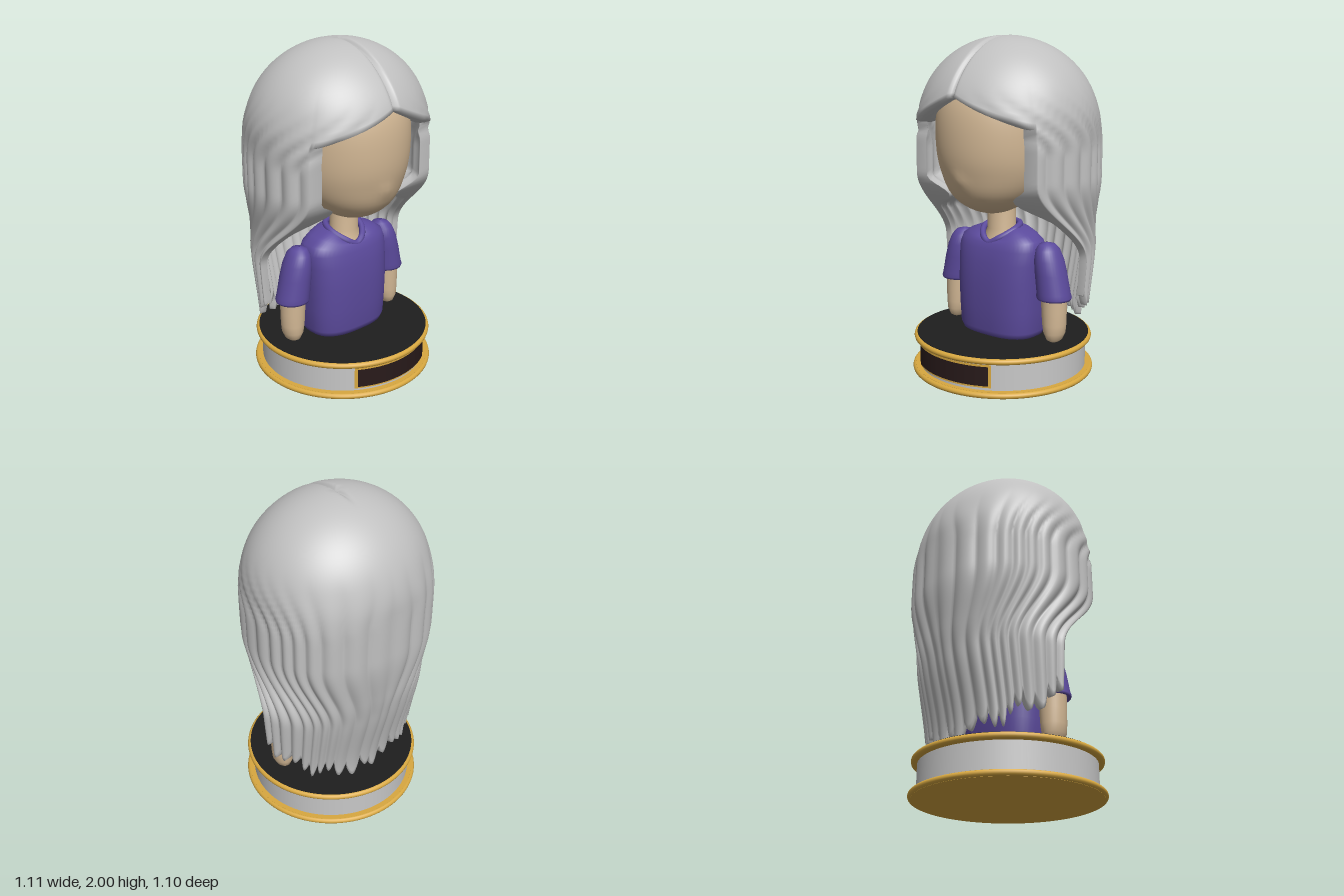
import * as THREE from 'three';
import { mergeGeometries, mergeVertices } from 'three/addons/utils/BufferGeometryUtils.js';

const mat = (name, color, side = THREE.FrontSide) => {
  const m = new THREE.MeshStandardMaterial({ color, side });
  m.name = name;
  return m;
};
const V = (x, y, z) => new THREE.Vector3(x, y, z);
const lerp = THREE.MathUtils.lerp;
const smooth = THREE.MathUtils.smoothstep;

// Skin a stack of closed rings (bottom to top, each running anticlockwise from above)
function loft(rows) {
  const n = rows[0].length, idx = [];
  for (let i = 0; i < rows.length - 1; i++) {
    for (let j = 0; j < n; j++) {
      const k = (j + 1) % n, a = i * n, b = a + n;
      idx.push(a + j, a + k, b + k, a + j, b + k, b + j);
    }
  }
  const g = new THREE.BufferGeometry().setFromPoints(rows.flat());
  g.setIndex(idx);
  g.computeVertexNormals();
  return g;
}

// Superellipse ring; p < 1 makes it squarer
function ring(cx, y, cz, hx, hz, p = 1, drop = 0, n = 48) {
  const pw = (v) => Math.sign(v) * Math.abs(v) ** p;
  return Array.from({ length: n }, (_, j) => {
    const a = (j / n) * Math.PI * 2, s = Math.sin(a), c = Math.cos(a);
    return V(cx + hx * pw(s), y - drop * Math.max(0, c) ** 2, cz + hz * pw(c));
  });
}

// ---- Hair: every strand falls from the crown at an angle phi (0 = front) ----
const COLS = 280;
const EDGE_COL = 40; // column where the fringe ends and the long hair begins
const EDGE = (EDGE_COL / COLS) * Math.PI * 2;
const STRANDS = 11; // per side

const fold = (phi) => Math.min(phi, Math.PI * 2 - phi);
// locks sweep backwards below the crown, with uneven widths
const lockPhase = (f, y) => {
  const a = f - 0.8 * smooth(-y, -1.72, -1.35) * (1 - smooth(f, 1, Math.PI));
  return STRANDS * a + 0.7 * Math.sin(3.7 * a);
};

function hairPoint(phi, y, theta, inset, lip = 0) {
  const f = fold(phi), sgn = phi > Math.PI ? -1 : 1;
  const dome = Math.sin(theta), cz = -0.05 + 0.012 * Math.cos(theta);
  const lock = Math.abs(Math.sin(lockPhase(f, y))) - 0.7;
  const r = 1 + lock * 0.042 * smooth(-y, -1.75, -1.3) + lip;
  const square = lerp(1, 0.8, smooth(-y, -1.65, -1.4));
  let x = 0.552 * Math.sin(f) ** square * dome * r;
  let z = cz + 0.498 * Math.cos(f) * dome * r;
  // the long hair is drawn back behind the shoulders
  const s = smooth(-y, -1.19, -0.74);
  const q = lerp(Math.PI / 2, Math.PI, Math.max(0, (f - EDGE) / (Math.PI - EDGE)));
  const low = smooth(-y, -0.9, -0.25);
  x = lerp(x, lerp(0.55, 0.52, low) * Math.sin(q) * r, s);
  z = lerp(z, -0.08 + lerp(0.42, 0.3, low) * Math.cos(q) * r, s);
  // centre parting
  const part = 1 - 0.045 * Math.exp(-((x / 0.014) ** 2)) * smooth(z, -0.22, -0.03) * smooth(y, 1.5, 1.6);
  // inner face, thickest just under the jaw
  const jaw = smooth(-y, -1.17, -1.07) * (1 - smooth(-y, -1.06, -0.95));
  const k = 1 - inset * (lerp(1, 0.45, s) + 1.7 * jaw);
  const kz = lerp(1, k, Math.min(1, Math.max(0, (f - EDGE) / 1.2)));
  return V(sgn * x * k, 1.5 + (y - 1.5) * (y > 1.5 ? part : 1), -0.05 + (z + 0.05) * part * kz);
}

// Dome over the whole head; its front edge rolls under as the fringe
function hairCap() {
  const down = 26, roll = 4, rows = [];
  for (let i = 0; i <= down + roll; i++) {
    const row = [];
    for (let j = 0; j < COLS; j++) {
      const phi = (j / COLS) * Math.PI * 2;
      const front = Math.max(0, 1 - fold(phi) / EDGE);
      const th = Math.acos(0.34 * front ** 1.3) * Math.min(1, i / down);
      const lip = 0.032 * smooth(i / down, 0.5, 1) * front ** 0.6;
      const p = hairPoint(phi, 1.5 + 0.5 * Math.cos(th), th, 0, lip);
      const back = front > 0 ? Math.max(0, i - down) / roll : 0;
      const k = 1 - 0.22 * back;
      row.push(V(p.x * k, p.y - 0.014 * Math.sin(back * Math.PI), -0.05 + (p.z + 0.05) * k));
    }
    rows.unshift(row);
  }
  return loft(rows);
}

// Thick curtain hanging from the dome's edge around the sides and back
function longHair() {
  const steps = 40, rows = [];
  const at = (t, phi, inset) => {
    const f = fold(phi), q = (f - EDGE) / (Math.PI - EDGE), phase = lockPhase(f, 0.5);
    const right = phi > Math.PI;
    const jitter = 0.035 * Math.sin(Math.floor(phase / Math.PI) * 4.7 + (right ? 2 : 0));
    const side = lerp(right ? 0.53 : 0.6, 0.37, Math.min(1, q * 1.4));
    const end = side - 0.08 * Math.abs(Math.sin(phase)) + jitter;
    return hairPoint(phi, lerp(1.5, end, t), Math.PI / 2, inset);
  };
  for (let i = 0; i <= steps; i++) {
    const outer = [], inner = [];
    for (let j = EDGE_COL; j <= COLS - EDGE_COL; j++) {
      const phi = (j / COLS) * Math.PI * 2;
      outer.push(at(i / steps, phi, 0));
      inner.unshift(at(i / steps, phi, 0.18));
    }
    rows.unshift([...outer, ...inner]);
  }
  // close the tips
  const last = rows[0];
  rows.unshift(last.map((p, j) => p.clone().lerp(last[last.length - 1 - j], 0.5)));
  return loft(rows);
}

// Weld dome and curtain so that the shading runs through
function hairGeometry() {
  const parts = [hairCap(), longHair()];
  parts.forEach((g) => g.deleteAttribute('normal'));
  const g = mergeVertices(mergeGeometries(parts), 1e-5);
  g.computeVertexNormals();
  return g;
}

// ---- Head with a tapered jaw, forward chin and a faint nose ----
function headGeometry() {
  const g = new THREE.SphereGeometry(1, 56, 40), p = g.attributes.position;
  for (let i = 0; i < p.count; i++) {
    const x = p.getX(i), y = p.getY(i), z = p.getZ(i);
    const fat = 1 + 0.26 * (1 - y * y) * y * y;
    const Y = 1.45 + y * (y < 0 ? 0.48 : 0.42);
    const nose = z > 0 ? 0.012 * Math.exp(-((x / 0.12) ** 2) - ((Y - 1.19) / 0.04) ** 2) : 0;
    const chin = 0.045 * smooth(-y, 0.45, 0.95);
    p.setXYZ(i, x * 0.36 * fat, Y, 0.05 + z * 0.36 * fat + nose + chin);
  }
  g.computeVertexNormals();
  return g;
}

export function createModel() {
  const root = new THREE.Group();
  root.name = 'bustFigure';
  const hair = mat('hairGrey', 0xc0c0c0, THREE.DoubleSide);
  const skin = mat('skin', 0xd3b895);
  const shirt = mat('shirtPurple', 0x5b4a9c, THREE.DoubleSide);
  const gold = mat('gold', 0xd8a840);
  const black = mat('baseTopBlack', 0x1e1e1e);
  const wall = mat('baseWallGrey', 0xc8c8c8);
  const plate = mat('plaqueDark', 0x281a1a);
  const add = (name, geo, m, y = 0) => {
    const mesh = new THREE.Mesh(geo, m);
    mesh.name = name;
    mesh.position.y = y;
    root.add(mesh);
  };

  // Round base with gold rims
  add('baseWall', new THREE.CylinderGeometry(0.505, 0.505, 0.17, 96, 1, true), wall, 0.115);
  for (const [name, y, r, h] of [['lowerRim', 0.018, 0.534, 0.036], ['upperRim', 0.213, 0.523, 0.034]]) {
    add(name + 'Disc', new THREE.CylinderGeometry(r, r, h, 96), gold, y);
    add(name, new THREE.TorusGeometry(r, 0.017, 12, 96).rotateX(Math.PI / 2), gold, y);
  }
  add('baseTop', new THREE.CylinderGeometry(0.522, 0.522, 0.004, 96), black, 0.231);

  // Curved plaque with a gold frame
  const curved = (r, h, a) => new THREE.CylinderGeometry(r, r, h, 32, 1, true, -a, 2 * a);
  add('plaqueFrame', curved(0.515, 0.136, 0.578), gold, 0.122);
  add('plaque', curved(0.519, 0.114, 0.542), plate, 0.122);

  // Torso: [y, half width, half depth, drop at the front]
  const torso = [
    [0.232, 0.22, 0.14, 0], [0.237, 0.255, 0.17, 0], [0.27, 0.27, 0.182, 0], [0.4, 0.277, 0.188, 0],
    [0.55, 0.282, 0.19, 0], [0.68, 0.285, 0.178, 0], [0.76, 0.287, 0.16, 0], [0.815, 0.27, 0.145, 0.02],
    [0.852, 0.215, 0.135, 0.045], [0.875, 0.155, 0.128, 0.065], [0.885, 0.11, 0.115, 0.08],
  ];
  add('shirtBody', loft(torso.map(([y, hx, hz, d]) => ring(0, y, 0, hx, hz, 0.75, d))), shirt);

  // Collar
  const collar = new THREE.CatmullRomCurve3([
    V(0, 0.795, 0.125), V(0.06, 0.825, 0.108), V(0.112, 0.872, 0.03), V(0.085, 0.893, -0.06),
    V(0, 0.895, -0.1), V(-0.085, 0.893, -0.06), V(-0.112, 0.872, 0.03), V(-0.06, 0.825, 0.108),
  ], true);
  add('collar', new THREE.TubeGeometry(collar, 64, 0.019, 10, true), shirt);

  // Neck, flaring into the chest
  add('neck', loft([
    ring(0, 0.76, 0.02, 0.12, 0.1), ring(0, 0.82, 0.015, 0.105, 0.095),
    ring(0, 0.87, 0.01, 0.087, 0.085), ring(0, 1.08, 0.01, 0.083, 0.083),
  ]), skin);
  add('head', headGeometry(), skin);

  // Arms: [x, y, half width, half depth]
  const sleeve = [
    [0.385, 0.515, 0.078, 0.075], [0.383, 0.495, 0.085, 0.085], [0.381, 0.492, 0.1, 0.097],
    [0.38, 0.505, 0.105, 0.102], [0.376, 0.53, 0.1, 0.099], [0.357, 0.64, 0.093, 0.098],
    [0.342, 0.72, 0.084, 0.094], [0.332, 0.78, 0.066, 0.078], [0.327, 0.81, 0.045, 0.05], [0.324, 0.822, 0.004, 0.004],
  ];
  const arm = [
    [0.387, 0.234, 0.004, 0.004], [0.387, 0.237, 0.026, 0.035], [0.387, 0.25, 0.042, 0.055],
    [0.386, 0.29, 0.062, 0.07], [0.384, 0.34, 0.07, 0.073], [0.382, 0.42, 0.074, 0.075], [0.378, 0.56, 0.078, 0.078],
  ];
  for (const [side, s] of [['left', 1], ['right', -1]]) {
    const limb = (rows) => loft(rows.map(([x, y, hx, hz]) => ring(s * x, y, -0.012, hx, hz, 1, 0, 32)));
    add(side + 'Sleeve', limb(sleeve), shirt);
    add(side + 'Arm', limb(arm), skin);
  }

  add('hair', hairGeometry(), hair);
  return root;
}
